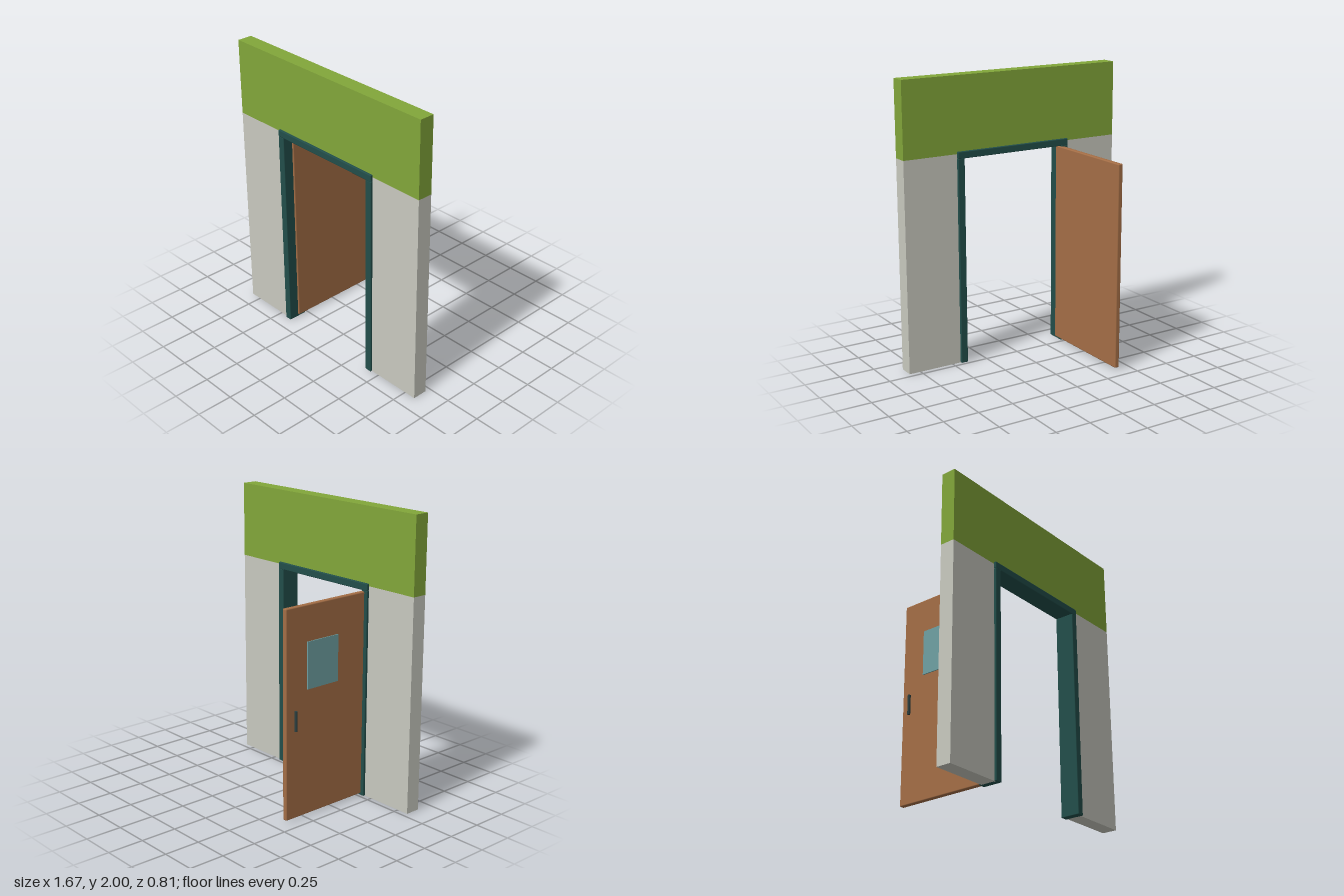
import * as THREE from 'three';
import { RoundedBoxGeometry } from 'three/addons/geometries/RoundedBoxGeometry.js';

const paint = (name, color) => {
  const m = new THREE.MeshStandardMaterial({ color });
  m.name = name;
  return m;
};

export function createModel() {
  const model = new THREE.Group();
  model.name = 'doorway';
  const plaster = paint('grey plaster', 0xc8c9bf);
  const green = paint('green paint', 0x82a63a);
  const teal = paint('dark teal frame', 0x224e4a);
  const wood = paint('brown wood', 0xa46e46);
  const glass = paint('blue grey glass', 0x6fa0a2);
  const metal = paint('dark metal', 0x2b3f40);

  // Box from its min and max corners, with an optional rounded edge
  const block = (parent, name, mat, [x0, y0, z0], [x1, y1, z1], r = 0) => {
    const size = [x1 - x0, y1 - y0, z1 - z0];
    const geo = r ? new RoundedBoxGeometry(...size, 2, r) : new THREE.BoxGeometry(...size);
    const mesh = new THREE.Mesh(geo, mat);
    mesh.name = name;
    mesh.position.set((x0 + x1) / 2, (y0 + y1) / 2, (z0 + z1) / 2);
    parent.add(mesh);
    return mesh;
  };

  const W = 0.833, wallBack = 0.287, wallFront = 0.392, split = 1.476;
  const outer = 0.438, inner = 0.388, frameBack = 0.27, frameFront = 0.407;

  // Wall: grey piers beside the opening, green band above
  const wall = new THREE.Group();
  wall.name = 'wall';
  block(wall, 'leftPier', plaster, [0.425, 0, wallBack], [W, split, wallFront]);
  block(wall, 'rightPier', plaster, [-W, 0, wallBack], [-0.425, split, wallFront]);
  block(wall, 'upperBand', green, [-W, split, wallBack], [W, 2, wallFront]);

  // Door frame
  const frame = new THREE.Group();
  frame.name = 'doorFrame';
  block(frame, 'leftJamb', teal, [inner, 0, frameBack], [outer, 1.446, frameFront], 0.005);
  block(frame, 'rightJamb', teal, [-outer, 0, frameBack], [-inner, 1.446, frameFront], 0.005);
  block(frame, 'header', teal, [-outer, 1.444, frameBack], [outer, 1.492, frameFront], 0.005);

  // Open door, swung back on the right jamb
  const door = new THREE.Group();
  door.name = 'door';
  block(door, 'doorLeaf', wood, [-0.413, 0.014, -0.407], [-0.378, 1.438, 0.335], 0.008);
  block(door, 'windowPane', glass, [-0.42, 0.88, -0.23], [-0.412, 1.197, 0.035]);

  // Upright pull handle
  const handle = new THREE.Mesh(new THREE.CylinderGeometry(0.01, 0.01, 0.137, 16), metal);
  handle.name = 'doorHandle';
  handle.position.set(-0.429, 0.692, -0.337);
  door.add(handle);

  model.add(wall, frame, door);
  return model;
}
